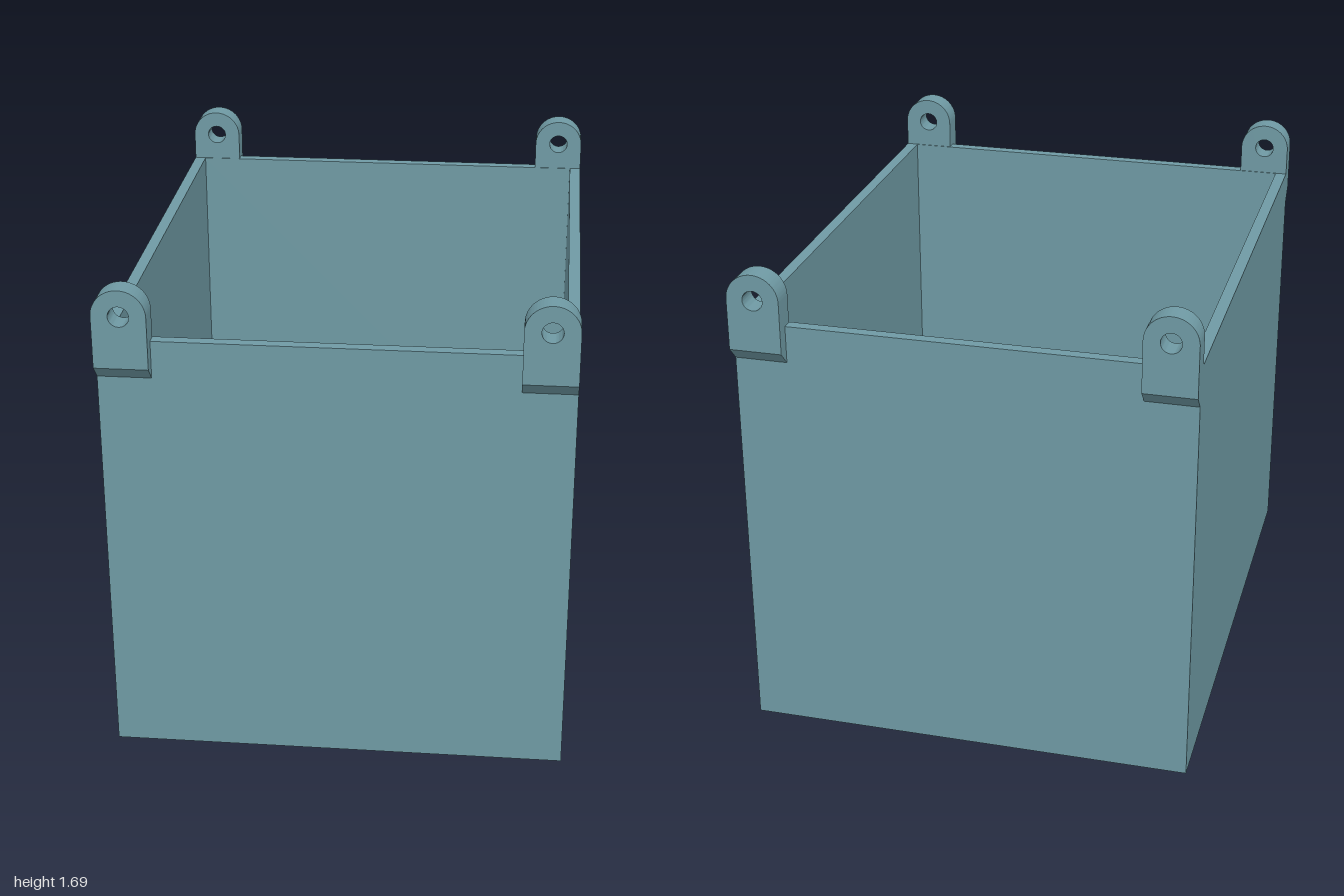
import * as THREE from 'three';
import { toCreasedNormals } from 'three/addons/utils/BufferGeometryUtils.js';

const HALF_X = 0.765, HALF_Z = 0.955, HEIGHT = 1.5, WALL = 0.04;
const LUG_R = 0.0885, LUG_Y = 1.597, LUG_FACE = 1.0, LUG_BACK = 0.918, LUG_BOTTOM = 1.42;

function rectangle(Type, x, y) {
  return new Type([[-x, -y], [x, -y], [x, y], [-x, y]].map(p => new THREE.Vector2(...p)));
}

export function createModel() {
  const group = new THREE.Group();
  const paint = new THREE.MeshStandardMaterial({ color: 0x6f9aa4 });
  paint.name = 'greyTeal';

  const add = (parent, name, geometry) => {
    const mesh = new THREE.Mesh(geometry, paint);
    mesh.name = name;
    parent.add(mesh);
    return mesh;
  };

  // Four walls as one upright rectangular tube
  const outline = rectangle(THREE.Shape, HALF_X, HALF_Z);
  outline.holes.push(rectangle(THREE.Path, HALF_X - WALL, HALF_Z - WALL));
  const walls = new THREE.ExtrudeGeometry(outline, { depth: HEIGHT, bevelEnabled: false });
  add(group, 'walls', walls.rotateX(-Math.PI / 2));

  // Floor plate between the walls
  const floor = new THREE.BoxGeometry(2 * (HALF_X - WALL), WALL, 2 * (HALF_Z - WALL));
  add(group, 'floor', floor.translate(0, WALL / 2, 0));

  // Round-topped lug plate with a pin hole
  const plate = new THREE.Shape();
  plate.moveTo(-LUG_R, LUG_BOTTOM);
  plate.lineTo(LUG_R, LUG_BOTTOM);
  plate.lineTo(LUG_R, LUG_Y);
  plate.absarc(0, LUG_Y, LUG_R, 0, Math.PI, false);
  plate.closePath();
  plate.holes.push(new THREE.Path().absarc(0, LUG_Y, 0.034, 0, Math.PI * 2, true));
  const plateGeometry = toCreasedNormals(new THREE.ExtrudeGeometry(plate, {
    depth: LUG_FACE - LUG_BACK, bevelEnabled: false, curveSegments: 24,
  }).translate(0, 0, LUG_BACK), 0.6);

  // Sloped foot that blends the lug into the wall (profile is drawn as -z, y)
  const foot = new THREE.Shape();
  foot.moveTo(-LUG_FACE, LUG_BOTTOM);
  foot.lineTo(-HALF_Z, 1.373);
  foot.lineTo(-HALF_Z + 0.02, 1.373);
  foot.lineTo(-HALF_Z + 0.02, LUG_BOTTOM);
  foot.closePath();
  const footGeometry = new THREE.ExtrudeGeometry(foot, { depth: 2 * LUG_R, bevelEnabled: false })
    .translate(0, 0, -LUG_R).rotateY(Math.PI / 2);

  // One lug at each corner; the rear pair is turned around
  for (const [end, turn] of [['front', 0], ['back', Math.PI]]) {
    for (const side of [-1, 1]) {
      const lug = new THREE.Group();
      lug.name = end + (side > 0 ? 'Left' : 'Right') + 'Lug';
      add(lug, 'lugPlate', plateGeometry);
      add(lug, 'lugFoot', footGeometry);
      lug.position.x = side * (HALF_X - LUG_R);
      lug.rotation.y = turn;
      group.add(lug);
    }
  }
  return group;
}
